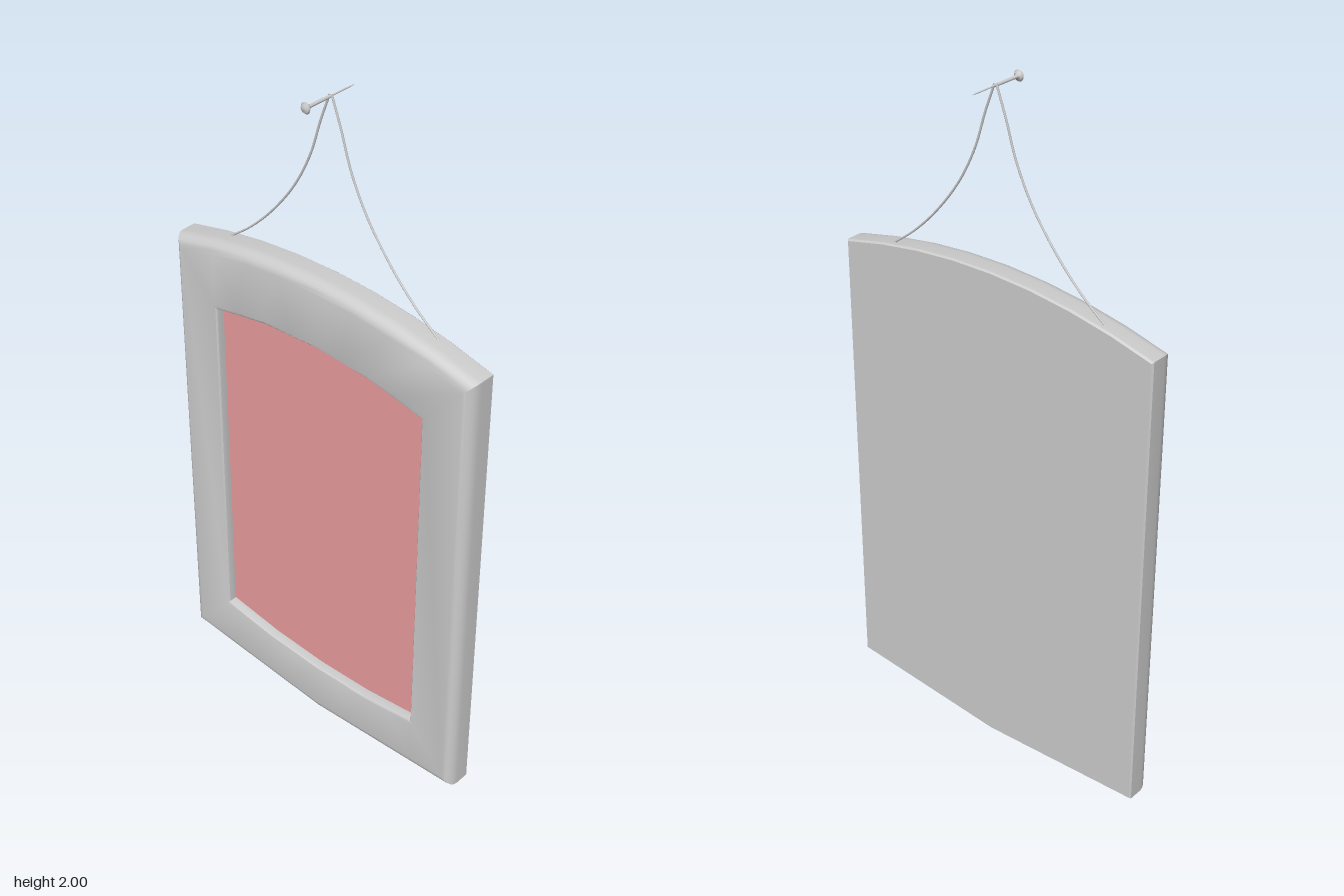
import * as THREE from 'three';
import { toCreasedNormals } from 'three/addons/utils/BufferGeometryUtils.js';

const SEG = 8; // segments along the top and the bottom edge

// Outlines run anticlockwise: along the bottom, then back along the top.
function outline(half, bottom, top, z) {
  const pts = [];
  for (let i = 0; i <= SEG; i++) {
    const t = -1 + (2 * i) / SEG;
    pts.push([half * t, bottom(t), z]);
  }
  for (let i = SEG; i >= 0; i--) {
    const t = -1 + (2 * i) / SEG;
    pts.push([half * t, top(t), z]);
  }
  return pts;
}

// Outer edge: arched top, shallow V at the bottom
const outer = (inset, z) => outline(0.51 - inset,
  t => 0.005 + 0.035 * Math.abs(t) + inset,
  t => 1.5 - 0.07 * t * t - inset, z);

// Opening: shallow arches of four straight pieces
const bow = t => {
  const a = Math.abs(t);
  return a < 0.5 ? 0.5 * a : 0.25 + 1.5 * (a - 0.5);
};
const inner = (grow, z) => outline(0.357 + grow,
  t => 0.178 + 0.032 * bow(t) - grow,
  t => 1.305 + grow - 0.045 * bow(t), z);

function loft(loops) {
  const pos = [];
  const n = loops[0].length;
  for (let k = 0; k < loops.length - 1; k++) {
    for (let i = 0; i < n; i++) {
      const j = (i + 1) % n;
      const a = loops[k][i], b = loops[k][j], c = loops[k + 1][j], d = loops[k + 1][i];
      pos.push(...a, ...b, ...c, ...a, ...c, ...d);
    }
  }
  return pos;
}

// Flat face filling an outline
function fill(loop, facesBack) {
  const pos = [];
  for (let i = 0; i < SEG; i++) {
    const a = loop[i], b = loop[i + 1];
    const c = loop[2 * SEG - i], d = loop[2 * SEG + 1 - i];
    if (facesBack) pos.push(...a, ...c, ...b, ...a, ...d, ...c);
    else pos.push(...a, ...b, ...c, ...a, ...c, ...d);
  }
  return pos;
}

function solid(pos) {
  const g = new THREE.BufferGeometry();
  g.setAttribute('position', new THREE.Float32BufferAttribute(pos, 3));
  return toCreasedNormals(g, 0.5);
}

export function createModel() {
  const group = new THREE.Group();
  const grey = new THREE.MeshStandardMaterial({ color: 0xcccccc });
  const pink = new THREE.MeshStandardMaterial({ color: 0xe89b9b });
  const add = (name, geometry, material = grey) => {
    const mesh = new THREE.Mesh(geometry, material);
    mesh.name = name;
    group.add(mesh);
    return mesh;
  };

  // Frame: closed back, straight sides, rounded front edge, softened opening
  const loops = [outer(0.004, -0.02), outer(0, -0.015)];
  for (let i = 0; i <= 5; i++) {
    const a = (i / 5) * Math.PI / 2;
    loops.push(outer(0.03 * (1 - Math.cos(a)), 0.027 + 0.035 * Math.sin(a)));
  }
  for (let i = 0; i <= 3; i++) {
    const a = (i / 3) * Math.PI / 2;
    loops.push(inner(0.01 * (1 - Math.sin(a)), 0.052 + 0.01 * Math.cos(a)));
  }
  loops.push(inner(0, 0.034));
  add('frame', solid([...loft(loops), ...fill(loops[0], true)]));

  // Recessed picture panel
  add('picturePanel', solid(fill(inner(0, 0.035), false)), pink);

  // Two sagging cords from the frame up to the nail
  for (const s of [1, -1]) {
    const path = new THREE.CatmullRomCurve3([
      [0.36, 1.458], [0.28, 1.52], [0.2, 1.6], [0.12, 1.705],
      [0.066, 1.81], [0.033, 1.91], [0.003, 1.99],
    ].map(([x, y]) => new THREE.Vector3(s * x, y, 0)));
    add(s > 0 ? 'leftCord' : 'rightCord', new THREE.TubeGeometry(path, 32, 0.003, 6));
  }

  // Nail: domed head in front, shaft narrowing to a point behind
  const profile = [
    [0, -0.085], [0.0018, -0.07], [0.002, -0.008], [0.004, 0], [0.0045, 0.076],
    [0.011, 0.08], [0.015, 0.085], [0.011, 0.09], [0, 0.092],
  ].map(([r, z]) => new THREE.Vector2(r, z));
  const nail = add('nail', new THREE.LatheGeometry(profile, 16));
  nail.rotation.x = Math.PI / 2;
  nail.position.y = 1.985;

  return group;
}
